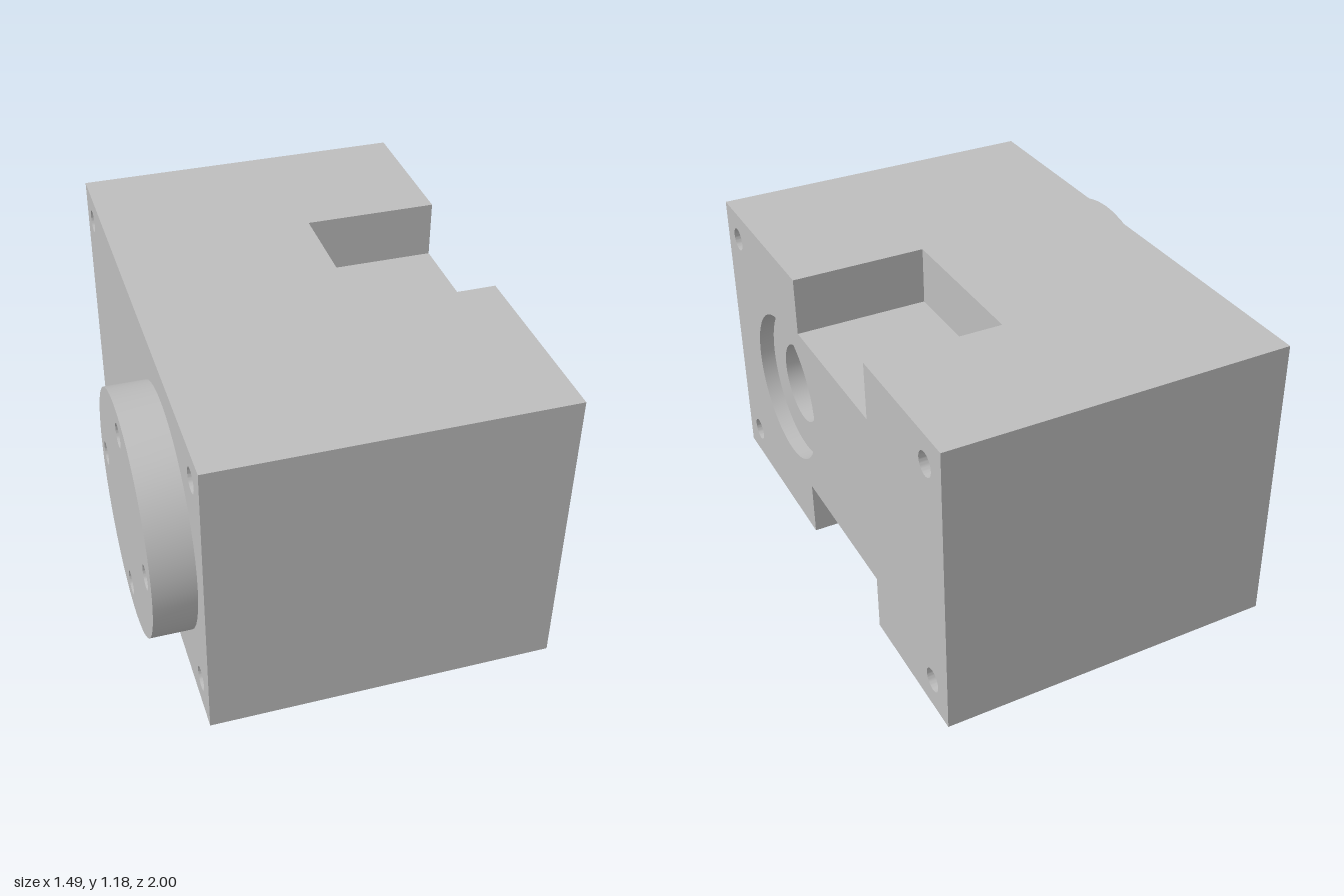
import * as THREE from 'three';
import { toCreasedNormals } from 'three/addons/utils/BufferGeometryUtils.js';

const ARC = 24; // curve divisions, giving 48-sided circles
const X0 = -0.585, X1 = 0.745, H = 1.18; // housing extents, z runs from -1 to 1
const NX = 0.215, NZ0 = -0.41, NZ1 = 0.24, ND = 0.23; // notch back, ends and depth
const HOLE_R = 0.046, HOLE_D = 0.3;
const AXIS_Y = 0.595, AXIS_Z = 0.44; // bore and flange axis
const FLANGE_R = 0.465, FLANGE_X = -0.745, BOLT_R = 0.355;

export function createModel() {
  const model = new THREE.Group();
  const metal = new THREE.MeshStandardMaterial({ color: 0xbebebe });
  metal.name = 'grey metal';

  const add = (parent, name, geometry, x = 0, y = 0, z = 0) => {
    const mesh = new THREE.Mesh(geometry, metal);
    mesh.name = name;
    mesh.position.set(x, y, z);
    parent.add(mesh);
    return mesh;
  };
  const group = (name) => {
    const g = new THREE.Group();
    g.name = name;
    model.add(g);
    return g;
  };
  // flat face from corner points and circular holes [u, v, radius]
  const face = (points, holes = []) => {
    const shape = new THREE.Shape(points.map(([u, v]) => new THREE.Vector2(u, v)));
    for (const [u, v, r] of holes) shape.holes.push(new THREE.Path().absarc(u, v, r, 0, Math.PI * 2, true));
    return new THREE.ShapeGeometry(shape, ARC);
  };
  // turned surface whose axis points along side * x
  const turned = (profile, side) => {
    const lathe = new THREE.LatheGeometry(profile.map(([r, a]) => new THREE.Vector2(r, a)), ARC * 2);
    return toCreasedNormals(lathe.rotateZ(-side * Math.PI / 2), 0.6);
  };
  const plane = (w, h) => new THREE.PlaneGeometry(w, h);
  const Q = Math.PI / 2;

  const corners = [];
  for (const z of [-0.88, 0.88]) for (const y of [0.122, 1.062]) corners.push([z, y]);

  // housing
  const housing = group('housing');
  add(housing, 'notchedSide', face(
    [[-1, 0], [-NZ1, 0], [-NZ1, ND], [-NZ0, ND], [-NZ0, 0], [1, 0],
      [1, H], [-NZ0, H], [-NZ0, H - ND], [-NZ1, H - ND], [-NZ1, H], [-1, H]],
    [...corners.map(([z, y]) => [-z, y, HOLE_R]), [-AXIS_Z, AXIS_Y, 0.302]],
  ).rotateY(Q), X1);
  add(housing, 'flangeSide', face(
    [[-1, 0], [1, 0], [1, H], [-1, H]],
    [...corners.map(([z, y]) => [z, y, HOLE_R]), [AXIS_Z, AXIS_Y, FLANGE_R]],
  ).rotateY(-Q), X0);
  const lid = (s) => face([[X0, -1], [X1, -1], [X1, s * NZ0], [NX, s * NZ0],
    [NX, s * NZ1], [X1, s * NZ1], [X1, 1], [X0, 1]].sort(() => 0));
  // top is drawn with v = -z, so its notch ends swap
  add(housing, 'top', face([[X0, -1], [X1, -1], [X1, -NZ1], [NX, -NZ1],
    [NX, -NZ0], [X1, -NZ0], [X1, 1], [X0, 1]]).rotateX(-Q), 0, H);
  add(housing, 'bottom', lid(1).rotateX(Q));
  add(housing, 'frontEnd', plane(X1 - X0, H), (X0 + X1) / 2, H / 2, 1);
  add(housing, 'backEnd', plane(X1 - X0, H).rotateY(Math.PI), (X0 + X1) / 2, H / 2, -1);

  // clamping notches in the top and bottom edges
  const nx = (NX + X1) / 2, nz = (NZ0 + NZ1) / 2;
  for (const up of [1, -1]) {
    const notch = group(up > 0 ? 'topNotch' : 'bottomNotch');
    const y = up > 0 ? H - ND / 2 : ND / 2;
    add(notch, 'notchBack', plane(NZ1 - NZ0, ND).rotateY(Q), NX, y, nz);
    add(notch, 'notchFloor', plane(X1 - NX, NZ1 - NZ0).rotateX(-up * Q), nx, y - up * ND / 2, nz);
    add(notch, 'notchFrontWall', plane(X1 - NX, ND).rotateY(Math.PI), nx, y, NZ1);
    add(notch, 'notchBackWall', plane(X1 - NX, ND), nx, y, NZ0);
  }

  // blind corner holes on both sides
  const holes = group('mountingHoles');
  const blind = [[HOLE_R, 0], [HOLE_R, -HOLE_D], [0, -HOLE_D]];
  for (const [z, y] of corners) {
    add(holes, 'mountingHole', turned(blind, 1), X1, y, z);
    add(holes, 'mountingHole', turned(blind, -1), X0, y, z);
  }

  // stepped bore
  add(model, 'steppedBore', turned([[0.302, 0], [0.302, -0.06], [0.163, -0.06], [0.163, -0.18],
    [0.06, -0.18], [0.06, -0.5], [0, -0.5]], 1), X1, AXIS_Y, AXIS_Z);

  // round flange with four bolt holes
  const flange = group('flange');
  flange.position.set(FLANGE_X, AXIS_Y, AXIS_Z);
  const bolts = [0, 1, 2, 3].map((i) => [BOLT_R * Math.cos(i * Q), BOLT_R * Math.sin(i * Q)]);
  const disc = new THREE.Shape().absarc(0, 0, FLANGE_R, 0, Math.PI * 2);
  for (const [z, y] of bolts) {
    disc.holes.push(new THREE.Path().absarc(z, y, HOLE_R, 0, Math.PI * 2, true));
    add(flange, 'boltHole', turned([[HOLE_R, 0], [HOLE_R, -0.15], [0, -0.15]], -1), 0, y, z);
  }
  add(flange, 'flangeFace', new THREE.ShapeGeometry(disc, ARC).rotateY(-Q));
  add(flange, 'flangeRim', turned([[FLANGE_R, FLANGE_X - X0], [FLANGE_R, 0]], -1));

  return model;
}
